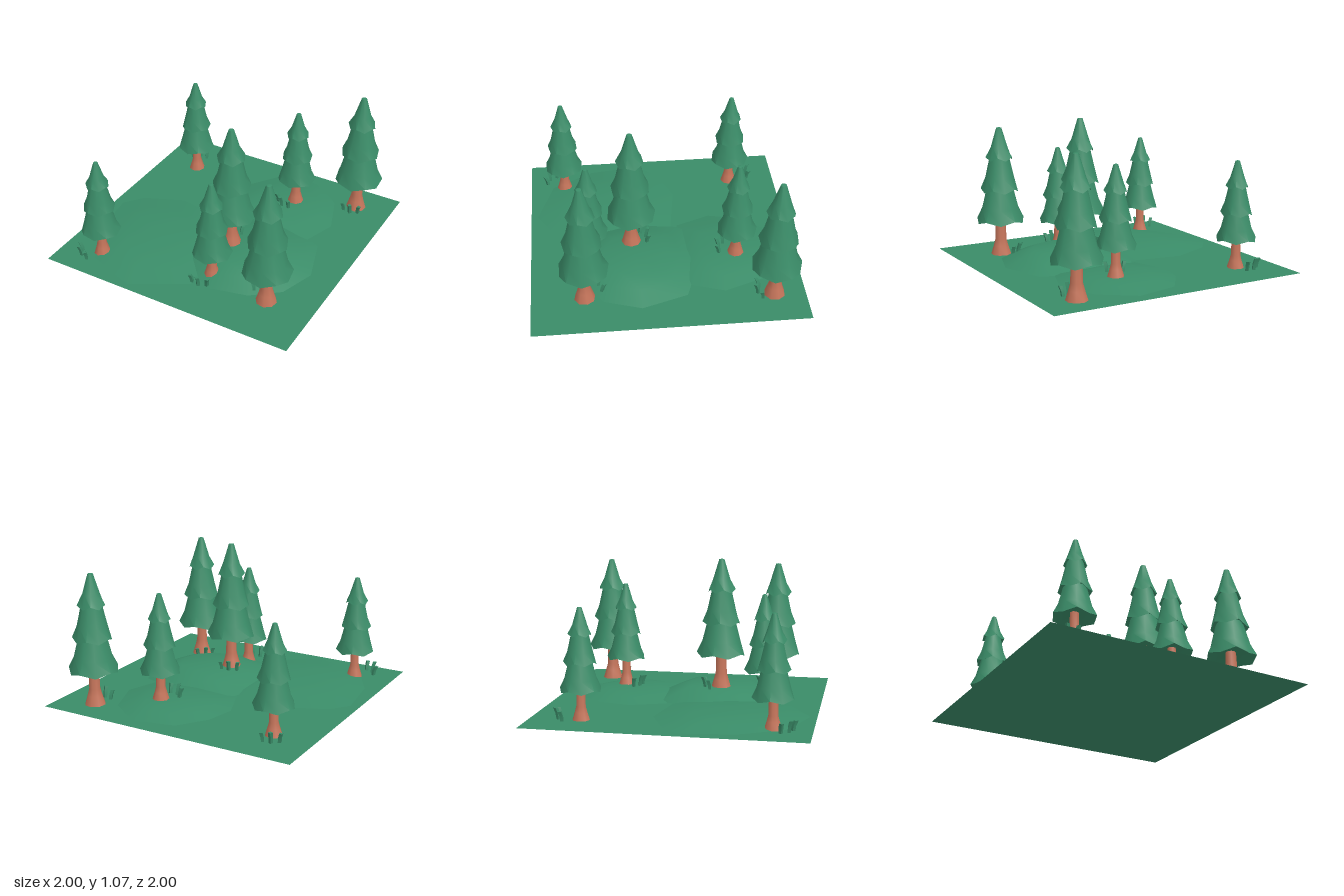
import * as THREE from 'three';
import { toCreasedNormals } from 'three/addons/utils/BufferGeometryUtils.js';

const green = new THREE.MeshStandardMaterial({ color: 0x3a8c68, side: THREE.DoubleSide });
green.name = 'pineGreen';
const bark = new THREE.MeshStandardMaterial({ color: 0xc4745a });
bark.name = 'barkBrown';

const SIDES = 10;

function mesh(name, geometry, material) {
  const m = new THREE.Mesh(geometry, material);
  m.name = name;
  return m;
}

function lathe(points, sides) {
  return new THREE.LatheGeometry(points.map(([r, y]) => new THREE.Vector2(r, y)), sides);
}

// One skirt of foliage with a zigzag rim and a closed underside
function tierGeometry(rim, yRim, rTop, yTop) {
  const h = yTop - yRim;
  const points = [
    [0, yRim + 0.05], [rim * 0.6, yRim + 0.04], [rim, yRim],
    [rTop + (rim - rTop) * 0.55, yRim + h * 0.36], [rTop, yTop], [0, yTop + 0.005],
  ];
  const g = lathe(points, SIDES);
  const pos = g.attributes.position;
  for (let i = 0; i <= SIDES; i++) {
    const v = i * points.length + 2;
    const k = i % 2 ? 1 : -1;
    pos.setY(v, yRim + k * 0.014);
    pos.setX(v, pos.getX(v) * (1 + k * 0.03));
    pos.setZ(v, pos.getZ(v) * (1 + k * 0.03));
  }
  return toCreasedNormals(g, 0.9);
}

// Low hill: a base outline rising to a smaller flat top
function hill(name, cx, cz, height, outline) {
  const v = [];
  const n = outline.length;
  const at = (i, s, y) => {
    const [x, z] = outline[i % n];
    return [cx + (x - cx) * s, y, cz + (z - cz) * s];
  };
  const rings = [[1, 0.001], [0.72, height * 0.58], [0.5, height * 0.97], [0, height]];
  for (let r = 0; r < 3; r++) {
    const [s0, y0] = rings[r];
    const [s1, y1] = rings[r + 1];
    for (let i = 0; i < n; i++) {
      const a = at(i, s0, y0), b = at(i + 1, s0, y0);
      const c = at(i + 1, s1, y1), d = at(i, s1, y1);
      v.push(...a, ...b, ...d);
      if (s1 > 0) v.push(...b, ...c, ...d);
    }
  }
  const g = new THREE.BufferGeometry();
  g.setAttribute('position', new THREE.Float32BufferAttribute(v, 3));
  g.computeVertexNormals();
  return mesh(name, toCreasedNormals(g, 0.4), green);
}

// Four-sided grass blade that curves away from its root
function bladeGeometry() {
  const g = new THREE.CylinderGeometry(0.017, 0.015, 0.08, 4, 2);
  g.translate(0, 0.04, 0);
  const pos = g.attributes.position;
  for (let i = 0; i < pos.count; i++) {
    const t = pos.getY(i) / 0.08;
    pos.setZ(i, pos.getZ(i) + 0.02 * t * t);
  }
  return toCreasedNormals(g, 0.5);
}

export function createModel() {
  const model = new THREE.Group();
  model.name = 'pineGrove';

  // Ground sheet
  const ground = new THREE.PlaneGeometry(2, 2);
  ground.rotateX(-Math.PI / 2);
  model.add(mesh('ground', ground, green));

  // Hills, outlines running counter-clockwise seen from above
  model.add(hill('backHill', 0.22, -0.48, 0.05, [
    [-0.22, -0.4], [-0.12, -0.14], [0.2, -0.08], [0.56, -0.13], [0.66, -0.42],
    [0.55, -0.72], [0.3, -0.9], [-0.02, -0.83], [-0.17, -0.62]]));
  model.add(hill('frontHill', 0.3, 0.22, 0.095, [
    [-0.2, 0.2], [-0.1, 0.52], [0.2, 0.7], [0.5, 0.63], [0.7, 0.47],
    [0.79, 0.2], [0.68, -0.14], [0.3, -0.27], [-0.08, -0.2]]));
  model.add(hill('leftHill', -0.4, 0.4, 0.042, [
    [-0.93, 0.12], [-0.88, 0.5], [-0.7, 0.82], [-0.32, 0.95], [0.08, 0.72],
    [0.12, 0.3], [-0.05, -0.08], [-0.52, -0.15], [-0.82, -0.02]]));

  // Trees: x, z, base height, scale
  const trunk = toCreasedNormals(
    lathe([[0.078, 0], [0.056, 0.07], [0.043, 0.12], [0.038, 0.32]], 8), 0.9);
  const tiers = [
    tierGeometry(0.182, 0.265, 0.1, 0.54),
    tierGeometry(0.143, 0.505, 0.07, 0.78),
    tierGeometry(0.103, 0.75, 0.02, 0.985),
  ];
  const trees = [
    [-0.69, -0.63, 0, 0.81], [0.285, -0.545, 0.045, 0.81], [0.715, -0.77, 0, 1],
    [0.14, 0.235, 0.08, 1], [0.165, 0.56, 0.005, 0.81], [0.64, 0.61, 0, 1],
    [-0.695, 0.725, 0, 0.81],
  ];
  trees.forEach(([x, z, y, s], i) => {
    const tree = new THREE.Group();
    tree.name = 'tree' + (i + 1);
    tree.add(mesh('trunk', trunk, bark));
    tiers.forEach((g, k) => {
      const tier = mesh('foliageTier' + (k + 1), g, green);
      tier.rotation.y = k * 0.25;
      tree.add(tier);
    });
    tree.position.set(x, y, z);
    tree.scale.setScalar(s);
    tree.rotation.y = i * 1.3;
    model.add(tree);
  });

  // Grass tufts: x, z, base height, direction they fan out to
  const blade = bladeGeometry();
  const tufts = [
    [-0.735, -0.75, 0.01, 3.5], [0.235, -0.45, 0.05, -0.4], [0.71, -0.68, 0.01, 0.1],
    [0.11, 0.15, 0.085, 3.5], [0.14, 0.69, 0.015, 0.1], [0.565, 0.53, 0.01, 3.9],
    [-0.78, 0.82, 0.01, -0.7],
  ];
  tufts.forEach(([x, z, y, dir], i) => {
    const tuft = new THREE.Group();
    tuft.name = 'grassTuft' + (i + 1);
    for (let k = -1; k <= 1; k++) {
      const b = mesh('blade', blade, green);
      b.position.set(k * 0.058, 0, k === 0 ? 0.03 : 0.01);
      b.rotation.y = k * 0.6;
      b.scale.y = k === 0 ? 1.05 : 0.9;
      tuft.add(b);
    }
    tuft.position.set(x, y, z);
    tuft.rotation.y = dir;
    model.add(tuft);
  });

  return model;
}
